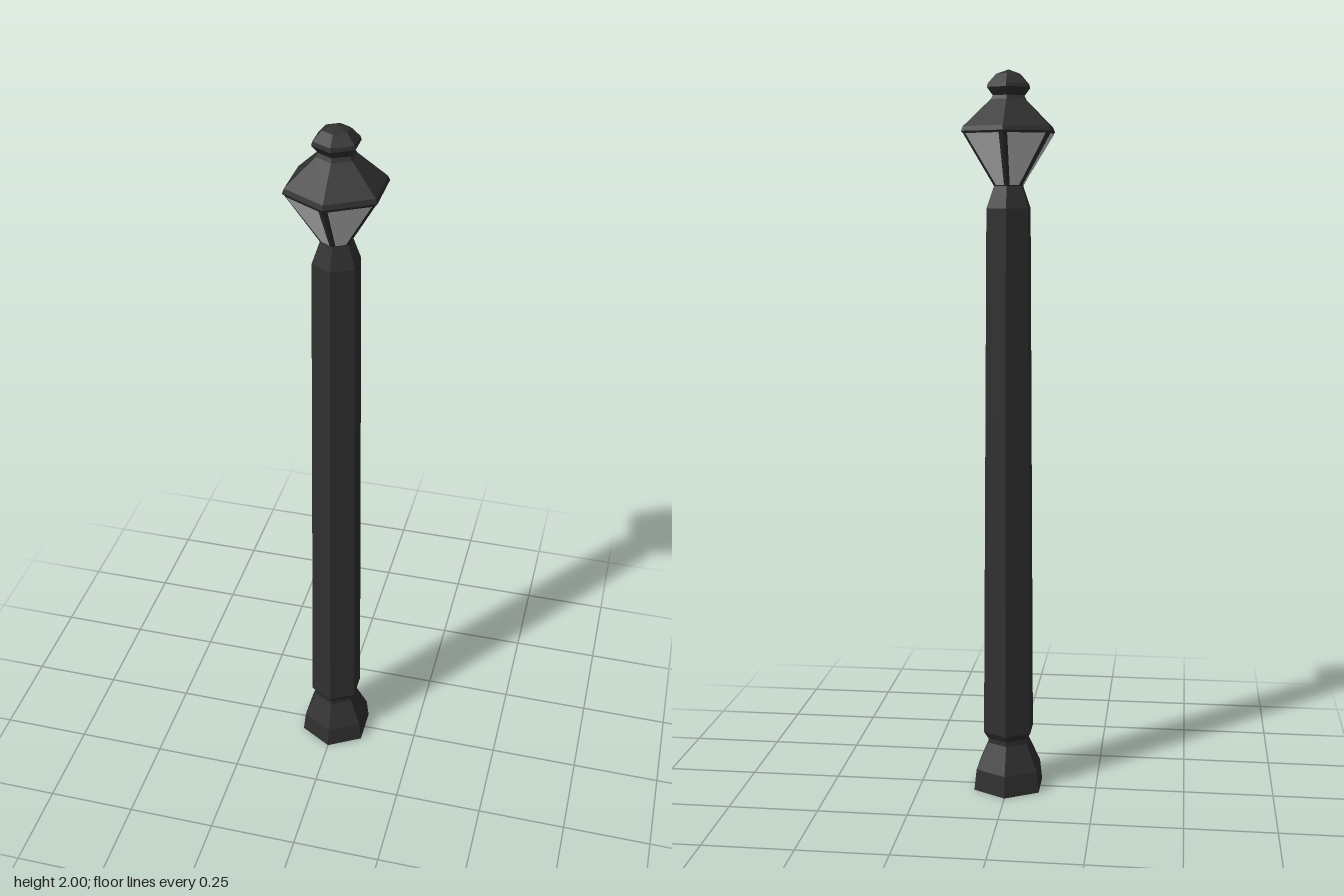
import * as THREE from 'three';

// Six-sided faceted solid from [radius, height] points, corners on the z axis
function hexTurned(name, profile, material) {
  const points = profile.map(([r, y]) => new THREE.Vector2(r, y));
  const geometry = new THREE.LatheGeometry(points, 6).toNonIndexed();
  geometry.computeVertexNormals();
  const mesh = new THREE.Mesh(geometry, material);
  mesh.name = name;
  return mesh;
}

export function createModel() {
  const iron = new THREE.MeshStandardMaterial({ color: 0x303030 });
  iron.name = 'dark iron';
  const glass = new THREE.MeshStandardMaterial({ color: 0xcfcfcf });
  glass.name = 'pale glass';

  const group = new THREE.Group();
  group.name = 'lampPost';

  // Flared foot and narrow neck
  group.add(hexTurned('base', [[0, 0], [0.106, 0], [0.099, 0.06], [0.063, 0.135], [0.063, 0.148]], iron));
  // Tapering shaft with a shoulder at each end
  group.add(hexTurned('shaft', [[0.063, 0.148], [0.076, 0.168], [0.065, 1.635], [0.043, 1.695]], iron));

  // Lantern body, widening upwards
  const low = { r: 0.043, y: 1.695 };
  const high = { r: 0.134, y: 1.836 };
  group.add(hexTurned('lanternFrame', [[low.r, low.y], [high.r, high.y]], iron));

  // Roof with a thin eave, and the finial on top
  group.add(hexTurned('roof', [[0, 1.834], [0.134, 1.834], [0.137, 1.838], [0.132, 1.85], [0.052, 1.922], [0.046, 1.932]], iron));
  group.add(hexTurned('finial', [[0.046, 1.932], [0.063, 1.953], [0.06, 1.963], [0.036, 1.988], [0, 2]], iron));

  // One sloping pane on each lantern face, leaving bars at the corners
  const corner = ({ r, y }, t, bar, side) => {
    const apothem = r * Math.cos(Math.PI / 6) + 0.0015;
    return [side * (r / 2 - bar), y + t, apothem];
  };
  const paneGeometry = new THREE.BufferGeometry();
  paneGeometry.setAttribute('position', new THREE.Float32BufferAttribute([
    ...corner(low, 0.002, 0.008, -1), ...corner(low, 0.002, 0.008, 1),
    ...corner(high, -0.004, 0.012, 1), ...corner(high, -0.004, 0.012, -1),
  ], 3));
  paneGeometry.setIndex([0, 1, 2, 0, 2, 3]);
  paneGeometry.computeVertexNormals();
  for (let i = 0; i < 6; i++) {
    const pane = new THREE.Mesh(paneGeometry, glass);
    pane.name = 'lanternPane' + (i + 1);
    pane.rotation.y = Math.PI / 6 + (i * Math.PI) / 3;
    group.add(pane);
  }
  return group;
}
